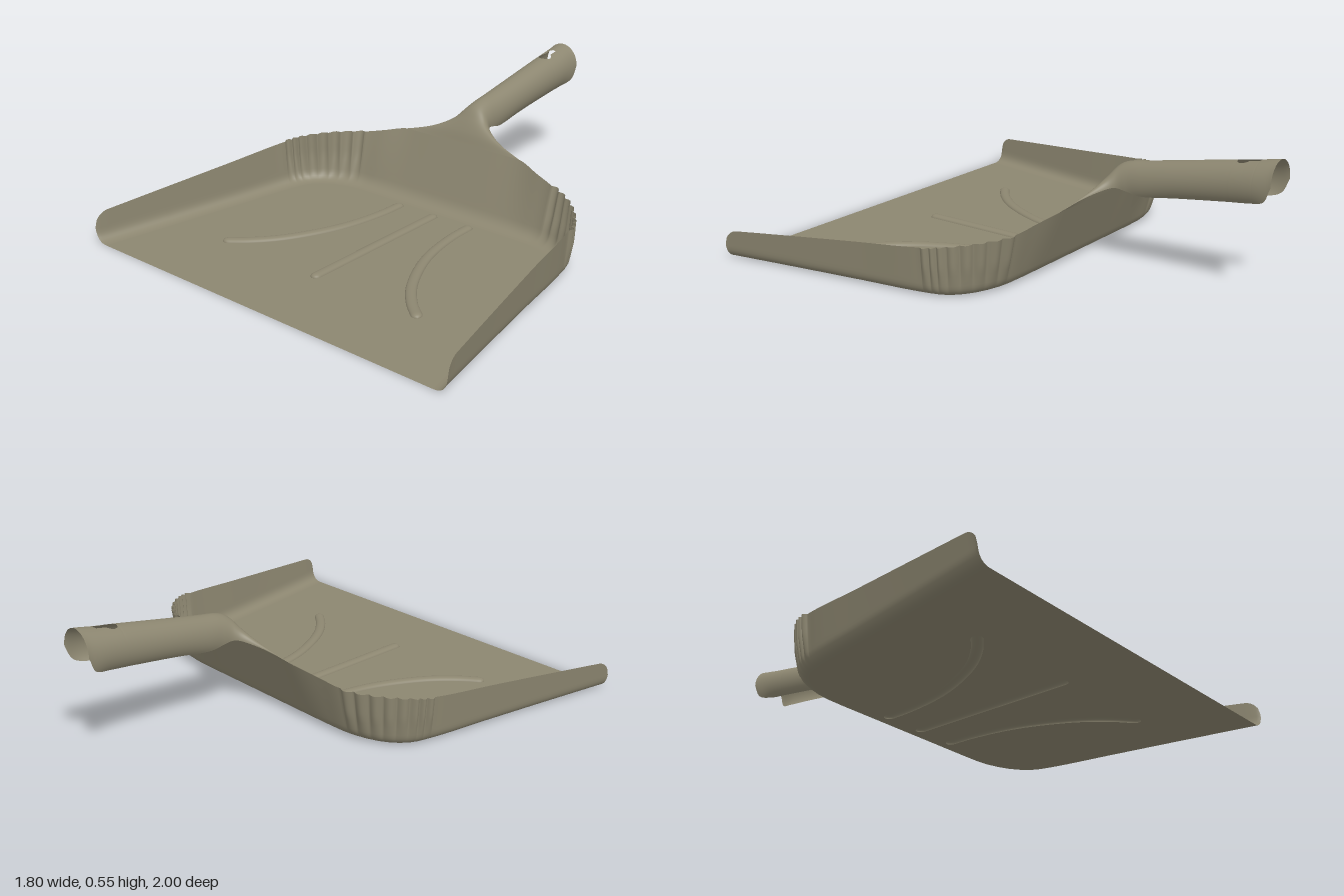
import * as THREE from 'three';
import { mergeVertices } from 'three/addons/utils/BufferGeometryUtils.js';

const V = (x, y, z) => new THREE.Vector3(x, y, z);
const mirrorX = (p) => V(-p.x, p.y, p.z);

// Smooth sheet through a list of equally long point rows
function loft(rows) {
  const n = rows[0].length, pos = [], idx = [];
  rows.forEach((r) => r.forEach((p) => pos.push(p.x, p.y, p.z)));
  for (let i = 0; i < rows.length - 1; i++) {
    for (let j = 0; j < n - 1; j++) {
      const a = i * n + j, b = a + n;
      idx.push(a, b, a + 1, b, b + 1, a + 1);
    }
  }
  let g = new THREE.BufferGeometry();
  g.setAttribute('position', new THREE.Float32BufferAttribute(pos, 3));
  g.setIndex(idx);
  g = mergeVertices(g, 1e-5);
  g.computeVertexNormals();
  return g;
}

// Half of the pan rim, front corner to back centre: floor edge x, z and wall top x, y, z
const RIM = [
  [0.84, 1, 0.9, 0.12, 1],
  [0.785, 0.69, 0.847, 0.147, 0.69],
  [0.732, 0.38, 0.795, 0.173, 0.38],
  [0.684, 0.1, 0.746, 0.198, 0.08],
  [0.655, 0.02, 0.712, 0.207, 0],
  [0.59, -0.035, 0.625, 0.218, -0.1],
  [0.48, -0.07, 0.5, 0.23, -0.178],
  [0.4, -0.075, 0.41, 0.25, -0.204],
  [0.3, -0.075, 0.3, 0.275, -0.235],
  [0.15, -0.075, 0.15, 0.275, -0.235],
  [0, -0.075, 0, 0.275, -0.235],
];

function rimColumns() {
  const base = new THREE.CatmullRomCurve3(RIM.map((r) => V(r[0], 0, r[1])));
  const top = new THREE.CatmullRomCurve3(RIM.map((r) => V(r[2], r[3], r[4])));
  const segs = RIM.length - 1, cols = [];
  for (let s = 0; s < segs; s++) {
    const steps = s >= 3 && s < 6 ? 30 : s === 0 ? 40 : 10;
    for (let k = 0; k < steps + (s === segs - 1 ? 1 : 0); k++) {
      const q = s + k / steps, B = base.getPoint(q / segs), T = top.getPoint(q / segs);
      // rounded front corner of the side wall
      const d = 1 - T.z;
      if (d < 0.06) T.y -= 0.06 * (1 - Math.sqrt(1 - (1 - d / 0.06) ** 2));
      const out = V(T.x - B.x, 0, T.z - B.z).normalize();
      const K = B.clone().addScaledVector(out, 0.05);
      const M = K.clone().lerp(T, Math.min(0.9, 0.05 / T.y));
      const bend = new THREE.QuadraticBezierCurve3(B, K, M);
      const col = bend.getPoints(8);
      // flutes around the back corners
      const c = (q - 3) / 3;
      const flute = c > 0 && c < 1 ? 0.016 * Math.abs(Math.sin(c * Math.PI * 8)) : 0;
      for (let v = 1; v <= 8; v++) col.push(M.clone().lerp(T, v / 8));
      col.forEach((p) => p.addScaledVector(out, flute * Math.min(1, p.y / 0.12)));
      cols.push(col);
    }
  }
  const other = cols.slice(0, -1).reverse().map((c) => c.map(mirrorX));
  return cols.concat(other);
}

// Neck and handle stations: half width, top y, top z, edge y, edge z, wrap angle
const GRIP = [
  [0.3, 0.275, -0.235, 0.275, -0.235, 90],
  [0.19, 0.325, -0.255, 0.302, -0.26, 90],
  [0.11, 0.375, -0.285, 0.325, -0.3, 90],
  [0.075, 0.415, -0.32, 0.335, -0.335, 95],
  [0.066, 0.435, -0.37, 0.327, -0.38, 105],
  [0.067, 0.448, -0.45, 0.315, -0.45, 125],
  [0.07, 0.474, -0.6, 0.335, -0.6, 135],
  [0.075, 0.51, -0.8, 0.362, -0.8, 135],
  [0.078, 0.526, -0.9, 0.375, -0.9, 133],
  [0.08, 0.54, -0.97, 0.395, -0.97, 115],
  [0.08, 0.545, -1, 0.455, -1, 90],
];

// Half width of the keyhole-shaped hanging hole
function holeHalf(z) {
  const round = Math.sqrt(Math.max(0, 0.028 ** 2 - (z + 0.855) ** 2));
  return Math.max(round, Math.abs(z + 0.895) < 0.027 ? 0.013 : 0);
}

function gripRows(side) {
  const topC = new THREE.CatmullRomCurve3(GRIP.map((r) => V(r[0], r[1], r[2])), false, 'catmullrom');
  const edgeC = new THREE.CatmullRomCurve3(GRIP.map((r) => V(r[5], r[3], r[4])), false, 'catmullrom');
  const N = (GRIP.length - 1) * 20, rows = [];
  for (let i = 0; i <= N; i++) {
    const T = topC.getPoint(i / N), E = edgeC.getPoint(i / N);
    const max = THREE.MathUtils.degToRad(E.x), start = Math.asin(holeHalf(T.z) / T.x);
    const row = [];
    for (let j = 0; j <= 20; j++) {
      const a = start + (max - start) * j / 20;
      const h = (Math.cos(a) - Math.cos(max)) / (1 - Math.cos(max));
      row.push(V(side * T.x * Math.sin(a), E.y + (T.y - E.y) * h, E.z + (T.z - E.z) * h));
    }
    rows.push(side > 0 ? row : row.reverse());
  }
  return rows;
}

// Raised rib: half-oval section along a floor curve, with rounded ends
function ribRows(curve) {
  const rows = [], N = 48, len = curve.getLength(), r = 0.022;
  for (let i = 0; i <= N; i++) {
    const t = (1 - Math.cos(Math.PI * i / N)) / 2;
    const p = curve.getPointAt(t), tan = curve.getTangentAt(t);
    const e = Math.min(1, Math.min(t, 1 - t) * len / r);
    const w = Math.max(0.001, r * Math.sqrt(1 - (1 - e) ** 2));
    const row = [];
    for (let j = 0; j <= 10; j++) {
      const a = Math.PI * j / 10, s = w * Math.cos(a);
      row.push(V(p.x - tan.z * s, 0.013 * (w / r) * Math.sin(a), p.z + tan.x * s));
    }
    rows.push(row);
  }
  return rows;
}

export function createModel() {
  const group = new THREE.Group();
  const plastic = new THREE.MeshStandardMaterial({ color: 0x8c8670, side: THREE.DoubleSide });
  plastic.name = 'olive grey plastic';
  const add = (name, geo) => {
    const m = new THREE.Mesh(geo, plastic);
    m.name = name;
    group.add(m);
  };

  // Walls with the fillet to the floor
  const cols = rimColumns();
  add('panWalls', loft(cols));

  // Floor, open beneath each rib
  const flat = (p) => new THREE.Vector2(p.x, -p.z);
  const floor = new THREE.Shape(cols.map((c) => flat(c[0])));
  const sideRib = [[0.185, -0.06], [0.19, 0.08], [0.23, 0.28], [0.33, 0.49], [0.42, 0.6], [0.51, 0.675]];
  const ribs = {
    leftRib: sideRib.map(([x, z]) => V(x, 0, z)),
    centreRib: [V(0, 0, -0.06), V(0, 0, 0.3), V(0, 0, 0.685)],
    rightRib: sideRib.map(([x, z]) => V(-x, 0, z)),
  };
  for (const [name, pts] of Object.entries(ribs)) {
    const rows = ribRows(new THREE.CatmullRomCurve3(pts));
    add(name, loft(rows));
    const rim = rows.map((r) => flat(r[0])).concat(rows.map((r) => flat(r[10])).reverse());
    floor.holes.push(new THREE.Path(rim));
  }
  add('panFloor', new THREE.ShapeGeometry(floor).rotateX(-Math.PI / 2));

  // Neck and hollow handle, mirrored about the middle
  const right = gripRows(-1), left = gripRows(1);
  add('handleLeft', loft(left));
  add('handleRight', loft(right));
  return group;
}
